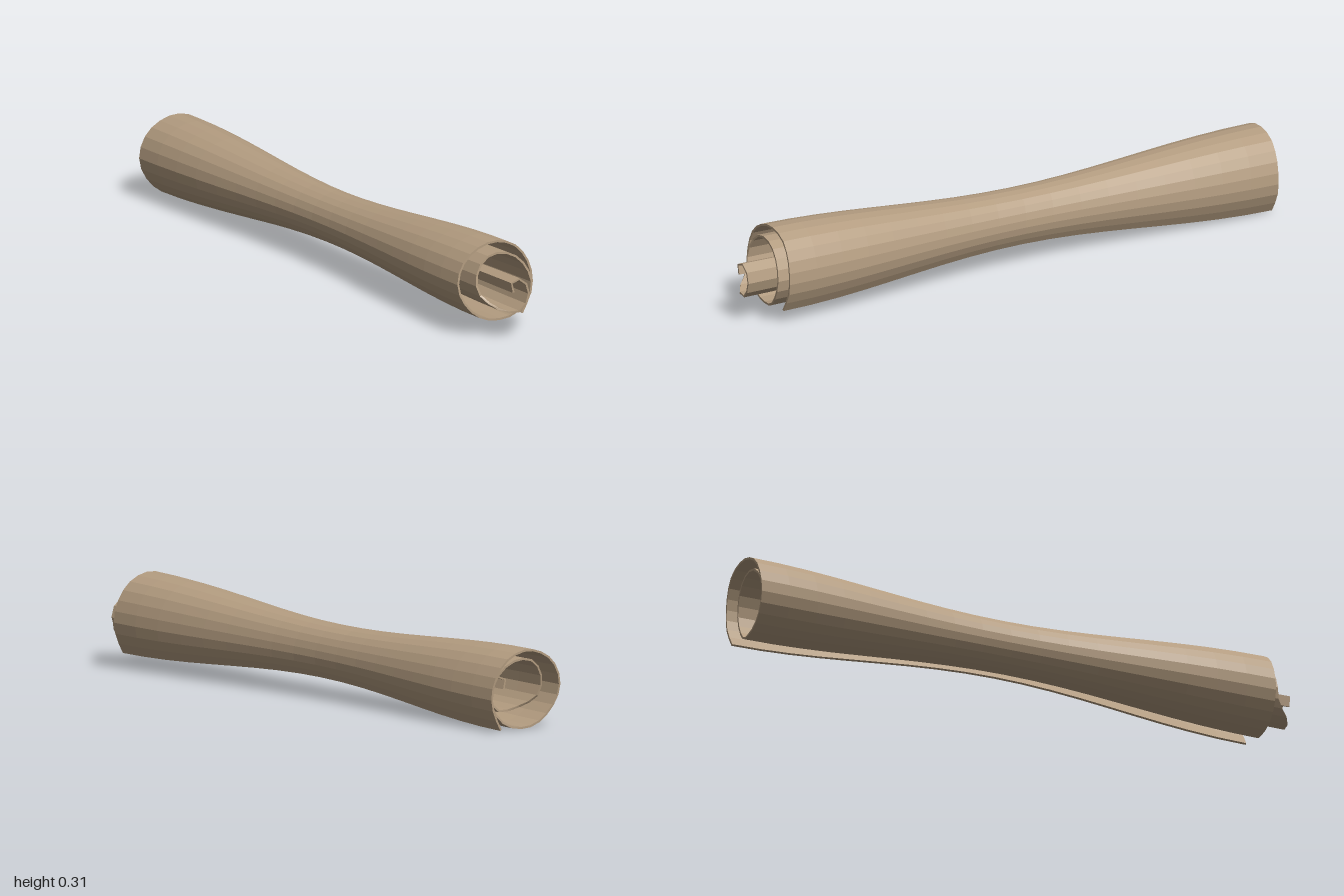
import * as THREE from 'three';

// Spiral of the rolled sheet at its front end: x, y and z of the edge, from the outer flap inwards
const SPIRAL = [
  [.128, .048, .892], [.16, .11, .89], [.167, .17, .89], [.145, .24, .885], [.1, .288, .88], [.03, .309, .88],
  [-.03, .298, .88], [-.085, .262, .88], [-.116, .2, .882], [-.113, .145, .888], [-.075, .085, .896], [-.02, .05, .9],
  [.04, .044, .905], [.09, .06, .915], [.135, .11, .923], [.147, .16, .922], [.122, .225, .915], [.07, .268, .908],
  [0, .275, .905], [-.045, .245, .907], [-.068, .19, .915], [-.055, .14, .925], [0, .095, .985], [.05, .09, .995],
  [.08, .12, 1], [.087, .16, 1], [.07, .195, 1], [.035, .21, 1], [.012, .19, 1], [.022, .162, 1],
];
const SEGMENTS = 46, ROWS = 18, THICKNESS = 0.007;
const FRONT = 0.88, BACK = -1;

// Hourglass: full width at both ends, narrow at the waist
function waistScale(z) {
  return 0.645 + 0.355 * Math.sin(Math.PI / 2 * Math.min(1, Math.abs(z + 0.06) / 0.94)) ** 2;
}

function rolledSheet() {
  const curve = new THREE.CatmullRomCurve3(SPIRAL.map(p => new THREE.Vector3(...p)));
  const edge = curve.getSpacedPoints(SEGMENTS);
  const positions = [], index = [];
  const ring = 2 * (SEGMENTS + 1);

  for (let i = 0; i <= ROWS; i++) {
    const u = i / ROWS;
    const z = THREE.MathUtils.lerp(BACK, FRONT, u), s = waistScale(z);
    const cx = THREE.MathUtils.lerp(-0.029, 0.025, u), cy = THREE.MathUtils.lerp(0.132, 0.175, u);
    const row = edge.map(p => new THREE.Vector3(cx + (p.x - 0.025) * s, cy + (p.y - 0.175) * s, z + p.z - FRONT));
    // Inner face, offset towards the middle of the roll
    const inner = row.map((p, j) => {
      const a = row[Math.max(j - 1, 0)], b = row[Math.min(j + 1, SEGMENTS)];
      const dx = b.x - a.x, dy = b.y - a.y, k = THICKNESS / Math.hypot(dx, dy);
      return new THREE.Vector3(p.x - dy * k, p.y + dx * k, p.z);
    });
    for (const p of [...row, ...inner.reverse()]) positions.push(p.x, p.y, p.z);
  }

  // Outer and inner faces plus the two long edges
  const quad = (a, b, c, d) => index.push(a, b, c, a, c, d);
  for (let i = 0; i < ROWS; i++) {
    for (let j = 0; j < ring; j++) {
      const k = (j + 1) % ring;
      quad(i * ring + j, i * ring + k, (i + 1) * ring + k, (i + 1) * ring + j);
    }
  }
  // Thin spiral edges at the front and back
  const top = ROWS * ring;
  for (let j = 0; j < SEGMENTS; j++) {
    const a = j, b = j + 1, c = ring - 2 - j, d = ring - 1 - j;
    quad(top + a, top + b, top + c, top + d);
    quad(d, c, b, a);
  }

  const indexed = new THREE.BufferGeometry();
  indexed.setAttribute('position', new THREE.Float32BufferAttribute(positions, 3));
  indexed.setIndex(index);
  const geometry = indexed.toNonIndexed();
  geometry.computeVertexNormals();
  return geometry;
}

export function createModel() {
  const group = new THREE.Group();
  group.name = 'scroll';
  const parchment = new THREE.MeshStandardMaterial({ color: 0xb39c80, flatShading: true });
  const sheet = new THREE.Mesh(rolledSheet(), parchment);
  sheet.name = 'rolledSheet';
  group.add(sheet);
  return group;
}
